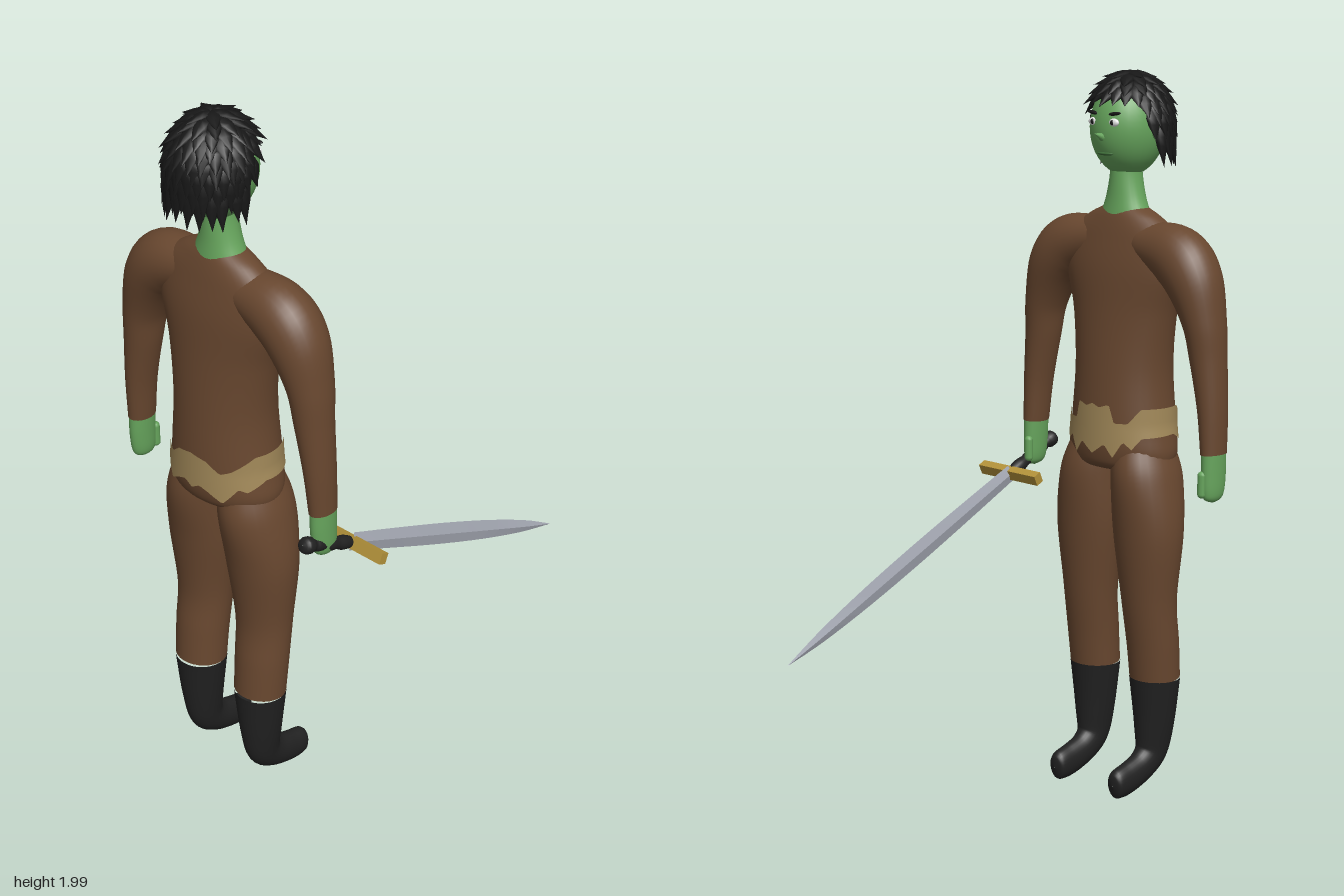
import * as THREE from 'three';
import { mergeGeometries } from 'three/addons/utils/BufferGeometryUtils.js';

const mat = (name, color) => {
  const m = new THREE.MeshStandardMaterial({ color });
  m.name = name;
  return m;
};

// Sweep of ellipses through sections [x, y, z, rA, rB]; rB lies along the side axis
function loft(sections, side, steps = 40, n = 28) {
  const centre = new THREE.CatmullRomCurve3(sections.map(s => new THREE.Vector3(s[0], s[1], s[2])), false, 'catmullrom');
  const radii = new THREE.CatmullRomCurve3(sections.map(s => new THREE.Vector3(s[3], s[4], 0)), false, 'catmullrom');
  const pos = [], idx = [];
  for (let i = 0; i <= steps; i++) {
    const t = i / steps, c = centre.getPoint(t), r = radii.getPoint(t);
    const a = new THREE.Vector3().crossVectors(side, centre.getTangent(t)).normalize();
    for (let j = 0; j < n; j++) {
      const q = j / n * Math.PI * 2;
      const p = c.clone().addScaledVector(a, Math.cos(q) * Math.max(r.x, 0.0005))
        .addScaledVector(side, Math.sin(q) * Math.max(r.y, 0.0005));
      pos.push(p.x, p.y, p.z);
      if (i < steps) {
        const k = (j + 1) % n, o = i * n, u = o + n;
        idx.push(o + j, o + k, u + k, o + j, u + k, u + j);
      }
    }
  }
  const g = new THREE.BufferGeometry();
  g.setAttribute('position', new THREE.Float32BufferAttribute(pos, 3));
  g.setIndex(idx);
  g.computeVertexNormals();
  return g;
}

// Linear interpolation in a short list of [angle, height]
function pick(list, x) {
  for (let i = 1; i < list.length; i++) {
    const [x0, y0] = list[i - 1], [x1, y1] = list[i];
    if (x <= x1) return y0 + (y1 - y0) * (x - x0) / (x1 - x0);
  }
  return list[list.length - 1][1];
}

// Zigzag belt; angle 0 is the middle of the back, PI the middle of the front
function beltGeometry() {
  const top = [[0, 1.09], [0.3, 1.08], [0.55, 1.05], [0.75, 1.06], [1.2, 1.1], [2.2, 1.1], [2.45, 1.06], [2.7, 1.06], [2.8, 1.11], [3.0, 1.1], [3.15, 1.11]];
  const bottom = [[0, 0.985], [0.15, 1.0], [0.3, 0.99], [0.55, 0.965], [0.85, 1.01], [1.0, 1.0], [1.4, 1.025], [2.2, 1.02], [2.4, 0.99], [2.55, 1.01], [2.75, 0.965], [2.9, 1.0], [3.15, 0.97]];
  const g = new THREE.CylinderGeometry(1, 1, 1, 144, 6, true);
  const p = g.attributes.position;
  for (let i = 0; i < p.count; i++) {
    const x = p.getX(i), z = p.getZ(i), q = Math.abs(Math.atan2(x, z));
    const y = THREE.MathUtils.lerp(pick(bottom, q), pick(top, q), p.getY(i) + 0.5);
    p.setXYZ(i, x * (0.159 + 0.14 * Math.max(0, 1.05 - y)), y, 0.395 + z * 0.1285);
  }
  g.computeVertexNormals();
  return g;
}

// Overlapping teardrop locks, row by row over the skull
function hairGeometry() {
  let seed = 7;
  const rnd = () => (seed = (seed * 16807) % 2147483647) / 2147483647 - 0.5;
  const profile = [[0, -1], [0.28, -0.65], [0.7, -0.2], [0.85, 0.15], [0.6, 0.5], [0, 0.65]].map(p => new THREE.Vector2(...p));
  const base = new THREE.LatheGeometry(profile, 8);
  const locks = [];
  const rows = [14, 26, 38, 49, 60, 71, 82, 93, 104];
  rows.forEach((deg, row) => {
    const polar = THREE.MathUtils.degToRad(deg), ring = Math.sin(Math.min(polar, Math.PI / 2));
    const count = Math.max(5, Math.round(25 * ring));
    for (let j = 0; j < count; j++) {
      const az = (j + (row % 2) / 2 + rnd() * 0.35) / count * Math.PI * 2;
      const back = Math.cos(az);
      // leave the face free
      if (deg > 55 && back < -0.6 || deg > 65 && back < -0.3 || deg > 88 && back < 0) continue;
      const n = new THREE.Vector3(Math.sin(az) * ring, Math.max(0, Math.cos(polar)), back * ring).normalize();
      const up = new THREE.Vector3(0, 1, 0).addScaledVector(n, -n.y).normalize();
      up.addScaledVector(n, -0.16 + rnd() * 0.1).normalize();
      const x = new THREE.Vector3().crossVectors(up, n).normalize();
      const z = new THREE.Vector3().crossVectors(x, up);
      const m = new THREE.Matrix4().makeBasis(x, up, z);
      m.setPosition(Math.sin(az) * ring * 0.108, 1.845 + 0.14 * Math.cos(polar), 0.41 + back * ring * 0.118);
      const length = (deg > 85 ? 0.07 : 0.05) * (1 + rnd() * 0.3);
      m.scale(new THREE.Vector3(0.027, length, 0.014));
      locks.push(base.clone().applyMatrix4(m));
    }
  });
  return mergeGeometries(locks);
}

export function createModel() {
  const skin = mat('green skin', 0x66a45c), cloth = mat('brown cloth', 0x68472f);
  const boot = mat('black leather', 0x212121), tan = mat('tan belt', 0xa38a5a);
  const hairMat = mat('black hair', 0x171717), gold = mat('gold', 0xb3923a);
  const steel = mat('steel', 0xa9adb8), white = mat('eye white', 0xe8e8e8);
  const lips = mat('dark green lips', 0x3d6b38);
  const X = new THREE.Vector3(1, 0, 0), Y = new THREE.Vector3(0, 1, 0), Z = new THREE.Vector3(0, 0, 1);

  const model = new THREE.Group();
  const figure = new THREE.Group();
  figure.name = 'figure';
  figure.position.x = -0.045;
  model.add(figure);
  const add = (parent, name, geo, material, pos = [0, 0, 0], scale = [1, 1, 1]) => {
    const mesh = new THREE.Mesh(geo, material);
    mesh.name = name;
    mesh.position.set(...pos);
    mesh.scale.set(...scale);
    parent.add(mesh);
    return mesh;
  };

  // Trunk
  add(figure, 'torso', loft([
    [0, 0.915, 0.392, 0.04, 0.05], [0, 0.93, 0.392, 0.14, 0.1], [0, 0.965, 0.395, 0.166, 0.12],
    [0, 1.05, 0.395, 0.155, 0.125], [0, 1.2, 0.395, 0.146, 0.116], [0, 1.35, 0.395, 0.165, 0.102],
    [0, 1.47, 0.395, 0.2, 0.09], [0, 1.555, 0.395, 0.19, 0.072], [0, 1.605, 0.395, 0.125, 0.058],
    [0, 1.635, 0.395, 0.06, 0.045]], Z, 60, 40), cloth);
  add(figure, 'belt', beltGeometry(), tan);
  add(figure, 'neck', loft([
    [0, 1.61, 0.395, 0.078, 0.055], [0, 1.66, 0.395, 0.057, 0.049],
    [0, 1.72, 0.395, 0.043, 0.046], [0, 1.78, 0.395, 0.04, 0.045]], Z, 16), skin);

  // Limbs
  for (const s of [-1, 1]) {
    const side = s < 0 ? 'right' : 'left';
    const flip = list => list.map(([x, ...rest]) => [x * s, ...rest]);
    add(figure, side + 'Sleeve', loft(flip([
      [0.08, 1.54, 0.392, 0.06, 0.065], [0.19, 1.513, 0.39, 0.083, 0.078], [0.248, 1.455, 0.388, 0.078, 0.078],
      [0.287, 1.35, 0.388, 0.057, 0.064], [0.302, 1.25, 0.39, 0.048, 0.054],
      [0.319, 1.12, 0.39, 0.037, 0.047], [0.327, 1.0, 0.388, 0.03, 0.042]]), Z), cloth);
    add(figure, side + 'Hand', loft(flip([
      [0.327, 1.005, 0.388, 0.028, 0.04], [0.328, 0.95, 0.388, 0.026, 0.041], [0.329, 0.9, 0.386, 0.023, 0.038],
      [0.33, 0.878, 0.384, 0.016, 0.028], [0.33, 0.868, 0.384, 0.001, 0.001]]), Z, 24), skin);
    add(figure, side + 'Thumb', new THREE.CapsuleGeometry(0.012, 0.05, 4, 10), skin, [s * 0.32, 0.92, 0.35]);
    add(figure, side + 'Leg', loft(flip([
      [0.075, 1.0, 0.392, 0.09, 0.073], [0.093, 0.9, 0.388, 0.109, 0.091], [0.105, 0.75, 0.383, 0.093, 0.1],
      [0.109, 0.56, 0.385, 0.073, 0.08], [0.112, 0.43, 0.4, 0.07, 0.075], [0.112, 0.33, 0.41, 0.068, 0.072]]), X), cloth);
    add(figure, side + 'Boot', loft(flip([
      [0.112, 0.33, 0.41, 0.069, 0.073], [0.112, 0.2, 0.41, 0.06, 0.055], [0.111, 0.12, 0.402, 0.052, 0.042],
      [0.11, 0.08, 0.365, 0.046, 0.035], [0.11, 0.058, 0.31, 0.046, 0.031], [0.11, 0.049, 0.265, 0.043, 0.029],
      [0.11, 0.047, 0.247, 0.033, 0.022], [0.11, 0.046, 0.24, 0.001, 0.001]]), X), boot);
  }

  // Head; the face looks along -z
  const head = new THREE.Group();
  head.name = 'head';
  figure.add(head);
  const ball = new THREE.SphereGeometry(1, 32, 24);
  add(head, 'skull', ball, skin, [0, 1.845, 0.4], [0.098, 0.132, 0.108]);
  const nose = add(head, 'nose', new THREE.ConeGeometry(0.018, 0.055, 16), skin, [0, 1.825, 0.292]);
  nose.rotation.x = -1.25;
  add(head, 'mouth', ball, lips, [0, 1.778, 0.311], [0.028, 0.005, 0.009]);
  for (const s of [-1, 1]) {
    add(head, 'eye', ball, white, [s * 0.036, 1.862, 0.303], [0.017, 0.011, 0.008]);
    add(head, 'pupil', ball, hairMat, [s * 0.035, 1.862, 0.297], [0.006, 0.007, 0.004]);
    const brow = add(head, 'eyebrow', ball, hairMat, [s * 0.037, 1.885, 0.304], [0.022, 0.005, 0.007]);
    brow.rotation.z = s * 0.15;
    add(head, 'ear', ball, skin, [s * 0.098, 1.84, 0.405], [0.01, 0.026, 0.018]);
  }
  add(head, 'hair', hairGeometry(), hairMat);

  // Sword held in the left hand, blade along its own -z
  const sword = new THREE.Group();
  sword.name = 'sword';
  sword.position.set(0.29, 0.856, 0.292);
  sword.rotation.x = -0.43;
  model.add(sword);
  const blade = loft([
    [0, 0, 0, 0.007, 0.025], [0, 0, -0.2, 0.007, 0.029], [0, 0, -0.4, 0.007, 0.031], [0, 0, -0.6, 0.0065, 0.028],
    [0, 0, -0.78, 0.006, 0.018], [0, 0, -0.915, 0.001, 0.001]], Y, 20, 4).toNonIndexed();
  blade.computeVertexNormals();
  add(sword, 'blade', blade, steel);
  add(sword, 'crossguard', new THREE.BoxGeometry(0.22, 0.03, 0.025), gold);
  const grip = [[0.0, 0.01], [0.012, 0.016], [0.04, 0.019], [0.065, 0.016], [0.09, 0.019], [0.115, 0.016],
    [0.14, 0.018], [0.155, 0.015], [0.17, 0.022], [0.19, 0.02], [0.198, 0.001]];
  add(sword, 'grip', loft(grip.map(([z, r]) => [0, 0, z, r, r]), Y, 40, 16), boot);
  return model;
}
